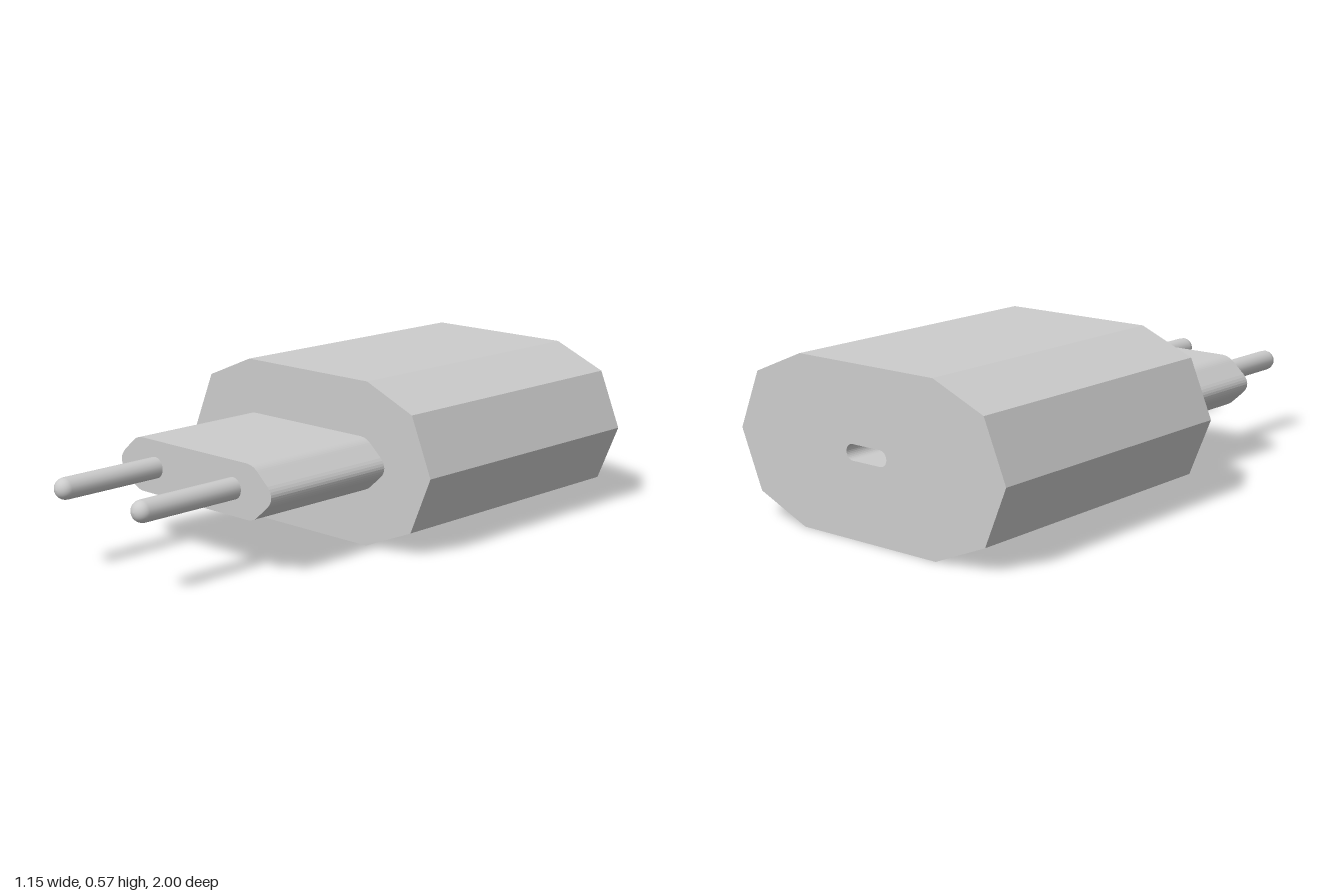
import * as THREE from 'three';

const MID = 0.2875; // height of the centre axis

export function createModel() {
  const model = new THREE.Group();
  model.name = 'plugAdapter';
  const plastic = new THREE.MeshStandardMaterial({ color: 0xcccccc });
  plastic.name = 'light grey';

  const add = (name, geometry, x, z) => {
    const mesh = new THREE.Mesh(geometry, plastic);
    mesh.name = name;
    mesh.position.set(x, MID, z);
    model.add(mesh);
  };
  const extrude = (shape, depth) =>
    new THREE.ExtrudeGeometry(shape, { depth, bevelEnabled: false, curveSegments: 8 });

  // ten-sided housing outline
  const housing = () => {
    const quarter = [[0.575, 0], [0.49, 0.2025], [0.2875, 0.2875]];
    const upper = [...quarter, ...quarter.slice(1).reverse().map(([x, y]) => [-x, y])];
    const lower = upper.map(([x, y]) => [-x, -y]);
    return new THREE.Shape([...upper, ...lower].map(([x, y]) => new THREE.Vector2(x, y)));
  };

  // rear of the housing carries the rounded socket slot
  const slotDepth = 0.14, r = 0.027, half = 0.06;
  const rear = housing();
  const slot = new THREE.Path();
  slot.absarc(half, 0, r, -Math.PI / 2, Math.PI / 2, false);
  slot.absarc(-half, 0, r, Math.PI / 2, Math.PI * 1.5, false);
  slot.closePath();
  rear.holes.push(slot);
  add('housingRear', extrude(rear, slotDepth), 0, -1);
  add('housingFront', extrude(housing(), 1.05 - slotDepth), 0, -1 + slotDepth);

  // plug block: flattened hexagon with rounded corners
  const plug = new THREE.Shape();
  plug.moveTo(0.255, -0.094);
  plug.quadraticCurveTo(0.285, -0.094, 0.307, -0.074);
  plug.lineTo(0.352, -0.034);
  plug.quadraticCurveTo(0.386, 0, 0.352, 0.034);
  plug.lineTo(0.307, 0.074);
  plug.quadraticCurveTo(0.285, 0.094, 0.255, 0.094);
  plug.lineTo(-0.255, 0.094);
  plug.quadraticCurveTo(-0.285, 0.094, -0.307, 0.074);
  plug.lineTo(-0.352, 0.034);
  plug.quadraticCurveTo(-0.386, 0, -0.352, -0.034);
  plug.lineTo(-0.307, -0.074);
  plug.quadraticCurveTo(-0.285, -0.094, -0.255, -0.094);
  plug.closePath();
  add('plugBlock', extrude(plug, 0.53), 0, 0.05);

  // round-tipped contact pins
  const R = 0.037;
  const profile = [new THREE.Vector2(R, 0)];
  for (let i = 0; i <= 6; i++) {
    const a = (i / 6) * Math.PI / 2;
    profile.push(new THREE.Vector2(R * Math.cos(a), 0.42 - R + R * Math.sin(a)));
  }
  for (const side of [1, -1]) {
    const pin = new THREE.LatheGeometry(profile, 20).rotateX(Math.PI / 2);
    add(side > 0 ? 'leftPin' : 'rightPin', pin, side * 0.192, 0.58);
  }
  return model;
}
